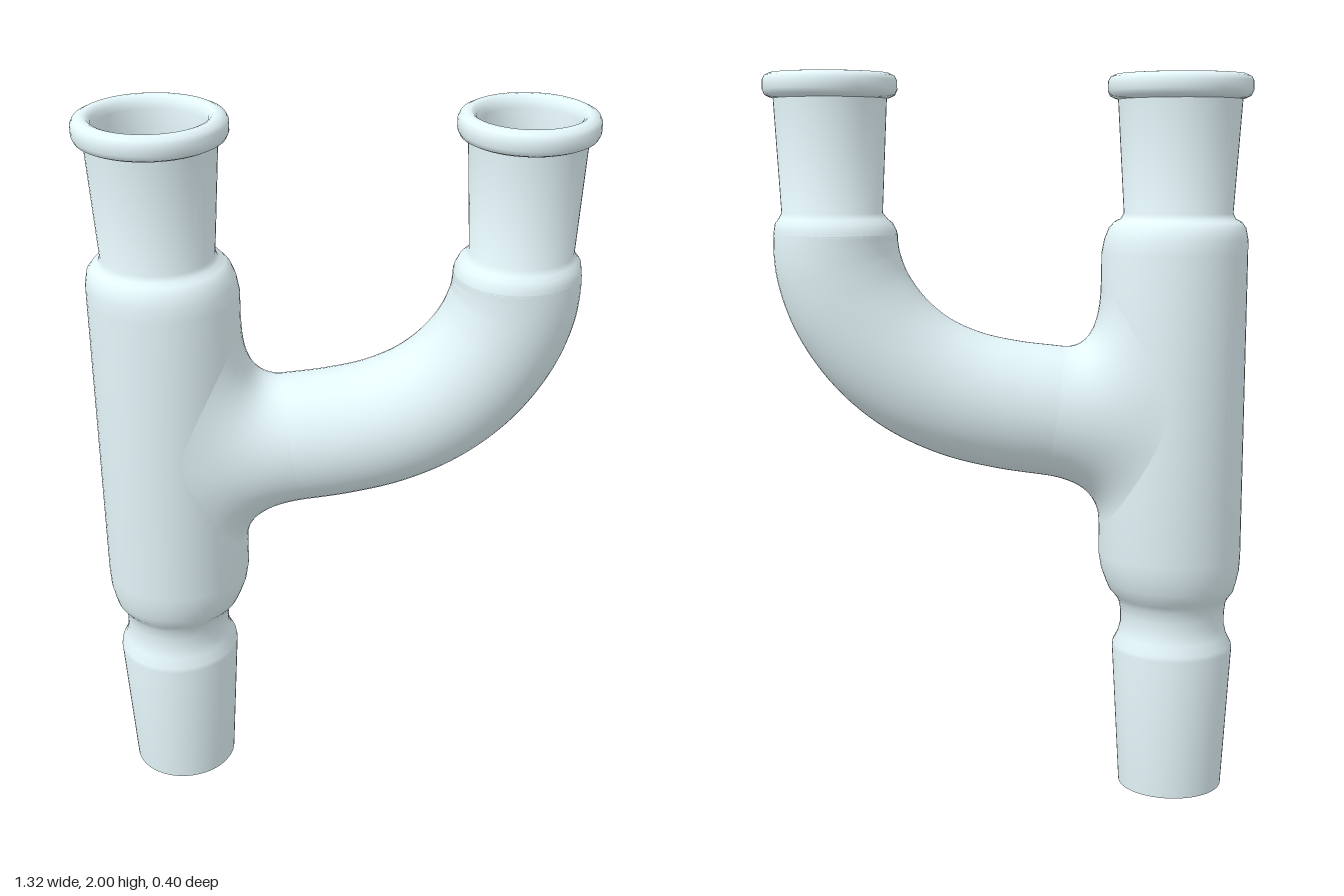
import * as THREE from 'three';
import { toCreasedNormals } from 'three/addons/utils/BufferGeometryUtils.js';
import { ParametricGeometry } from 'three/addons/geometries/ParametricGeometry.js';

const MAIN_X = -0.454;   // axis of the straight tube's body
const MAIN_R = 0.2;
const ARM_X = 0.468;     // top end of the curved arm
const ROOT_Y = 1.088;    // height where the arm leaves the straight tube

export function createModel() {
  const group = new THREE.Group();
  // Pale, faintly cool glass
  const material = new THREE.MeshStandardMaterial({ color: 0xe4f6fa, side: THREE.DoubleSide });

  const add = (name, geometry) => {
    const mesh = new THREE.Mesh(geometry, material);
    mesh.name = name;
    group.add(mesh);
  };

  // Turned glass whose axis drifts slightly: axisX gives the centre at each height
  const turned = (profile, axisX) => {
    const geometry = new THREE.LatheGeometry(profile.map(([r, y]) => new THREE.Vector2(r, y)), 56);
    const pos = geometry.attributes.position;
    for (let i = 0; i < pos.count; i++) pos.setX(i, pos.getX(i) + axisX(pos.getY(i)));
    return toCreasedNormals(geometry, 1.0);
  };
  const ease = THREE.MathUtils.smoothstep;

  // Rounded bead at the mouth of a ground joint, from outside to inside
  const bead = (outer, inner) => [
    [outer - 0.018, 1.936], [outer - 0.006, 1.942], [outer, 1.955], [outer, 1.98],
    [outer - 0.006, 1.992], [outer - 0.02, 1.999], [outer - 0.032, 2],
    [inner + 0.014, 1.997], [inner + 0.004, 1.987], [inner, 1.968],
  ];

  // Straight tube: tapered cone, neck, body, socket, then back down the bore
  add('mainTube', turned([
    [0.135, 0], [0.147, 0], [0.170, 0.405], [0.168, 0.418], [0.154, 0.445], [0.147, 0.475],
    [0.147, 0.51], [0.152, 0.54], [0.162, 0.558], [0.176, 0.575], [0.185, 0.6], [0.195, 0.635],
    [MAIN_R, 0.68], [MAIN_R, 1.52], [0.196, 1.56], [0.187, 1.59], [0.173, 1.607], [0.156, 1.615],
    [0.149, 1.63], [0.168, 1.933],
    ...bead(0.196, 0.142),
    [0.127, 1.62], [0.14, 1.6], [0.158, 1.57], [0.165, 1.53], [0.165, 0.67], [0.155, 0.61],
    [0.135, 0.57], [0.125, 0.53], [0.125, 0.46], [0.14, 0.4], [0.135, 0],
  ], (y) => -0.466 + 0.012 * (ease(y, 0.5, 0.7) - 0.8 * ease(y, 1.5, 1.63))));

  // Side socket at the top of the curved arm
  add('sideSocket', turned([
    [0.167, 1.57], [0.165, 1.585], [0.158, 1.605], [0.146, 1.617], [0.136, 1.632], [0.151, 1.933],
    ...bead(0.179, 0.128),
    [0.112, 1.62], [0.125, 1.6], [0.135, 1.57],
  ], (y) => ARM_X + 0.009 * ease(y, 1.57, 1.64)));

  // Curved arm: a sweep in the xy plane, slightly deeper than wide near its root
  const path = new THREE.CatmullRomCurve3([
    [-0.12, ROOT_Y], [0, 1.105], [0.13, 1.137], [0.25, 1.194], [0.35, 1.278],
    [0.425, 1.385], [0.46, 1.48], [ARM_X, 1.54], [ARM_X, 1.575],
  ].map(([x, y]) => new THREE.Vector3(x, y, 0)), false, 'centripetal');
  const armPoint = (a, v, wall, target) => {
    const p = path.getPoint(v);
    const t = path.getTangent(v);
    const c = Math.cos(a) * (THREE.MathUtils.lerp(0.181, 0.167, v) - wall);
    const s = Math.sin(a) * (THREE.MathUtils.lerp(0.163, 0.167, v) - wall);
    return target.set(p.x - t.y * c, p.y + t.x * c, s);
  };
  const sweep = (wall, dir) => new ParametricGeometry(
    (u, v, target) => armPoint(u * Math.PI * 2 * dir, v, wall, target), 48, 56);
  add('curvedArm', sweep(0, 1));
  add('curvedArmBore', sweep(0.032, -1));

  // Root fillet: flares from the arm's first section onto the side of the straight tube
  const rootTangent = path.getTangent(0);
  const slope = rootTangent.y / rootTangent.x;
  const end = new THREE.Vector3();
  add('rootFillet', new ParametricGeometry((u, v, target) => {
    const a = u * Math.PI * 2;
    const s = Math.sin(a), w = 1 - v;
    armPoint(a, 0, 0, end);
    const z0 = 0.196 * s;
    const x0 = MAIN_X + Math.sqrt(MAIN_R * MAIN_R - z0 * z0);
    const y0 = ROOT_Y + 0.015 + 0.34 * Math.cos(a);
    const mx = x0 + 0.1 * s * s;
    const my = end.y - slope * (end.x - mx);
    const mz = THREE.MathUtils.lerp(end.z, z0, 0.4);
    const blend = (p, q, r) => w * w * p + 2 * w * v * q + v * v * r;
    target.set(blend(x0, mx, end.x), blend(y0, my, end.y), blend(z0, mz, end.z));
  }, 48, 16));

  // Bore of the arm where it runs into the straight tube
  add('rootBore', new ParametricGeometry((u, v, target) => {
    armPoint(-u * Math.PI * 2, 0, 0.032, target);
    target.x -= (1 - v) * 0.18;
    target.y -= (1 - v) * 0.18 * slope;
  }, 48, 2));

  return group;
}
